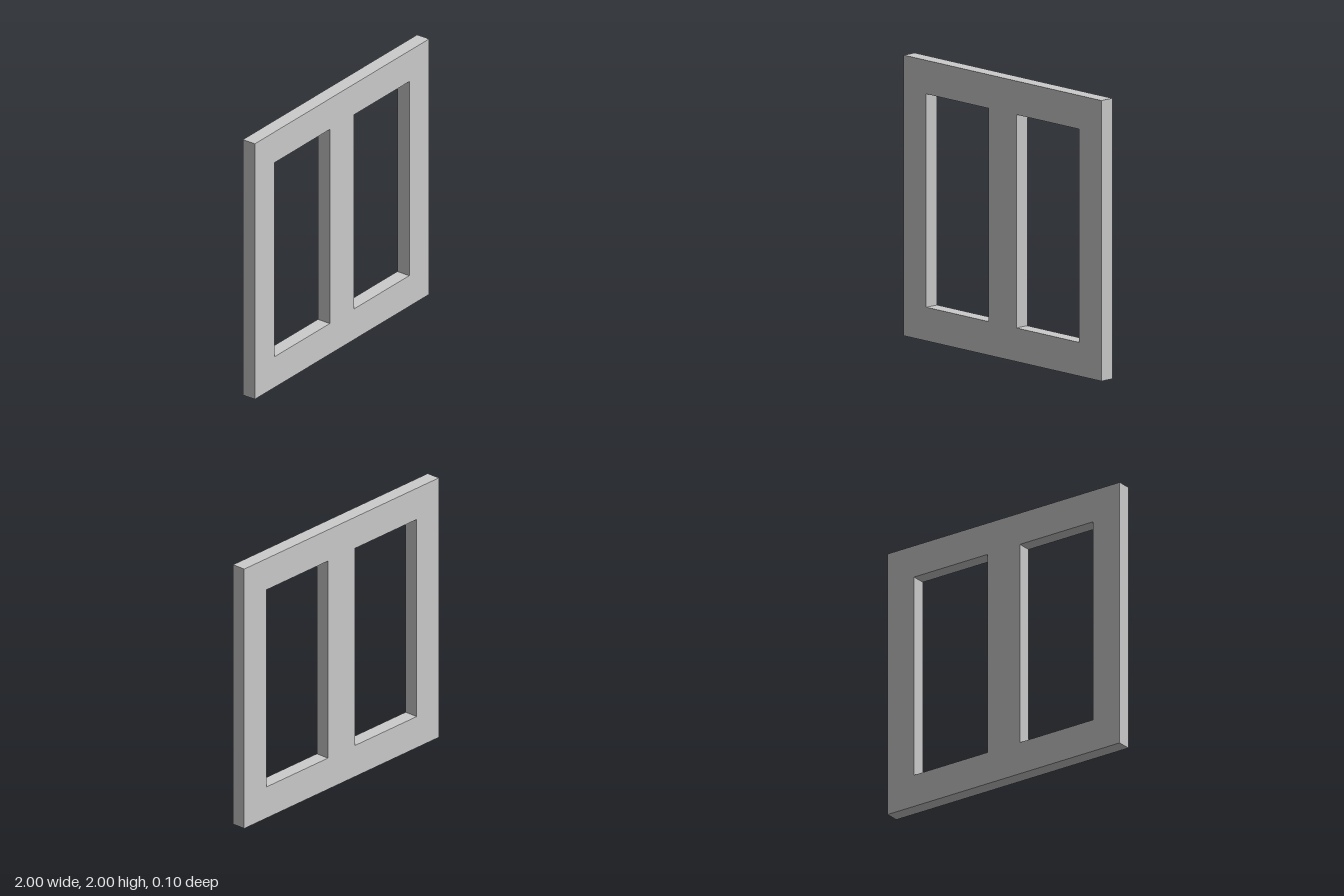
import * as THREE from 'three';

const DEPTH = 0.105;

// Closed rectangular outline from two corners
function rectangle(Type, x0, y0, x1, y1) {
  return new Type([
    new THREE.Vector2(x0, y0),
    new THREE.Vector2(x1, y0),
    new THREE.Vector2(x1, y1),
    new THREE.Vector2(x0, y1),
  ]);
}

export function createModel() {
  const group = new THREE.Group();
  group.name = 'windowFrame';

  // Square slab with two mirrored openings either side of the central mullion
  const outline = rectangle(THREE.Shape, -1, 0, 1, 2);
  for (const side of [-1, 1]) {
    outline.holes.push(rectangle(THREE.Path, side * 0.14, 0.24, side * 0.772, 1.76));
  }

  const geometry = new THREE.ExtrudeGeometry(outline, { depth: DEPTH, bevelEnabled: false });
  geometry.translate(0, 0, -DEPTH / 2);

  const frame = new THREE.Mesh(
    geometry,
    new THREE.MeshStandardMaterial({ color: 0xcccccc, flatShading: true })
  );
  frame.name = 'frame';
  group.add(frame);
  return group;
}
